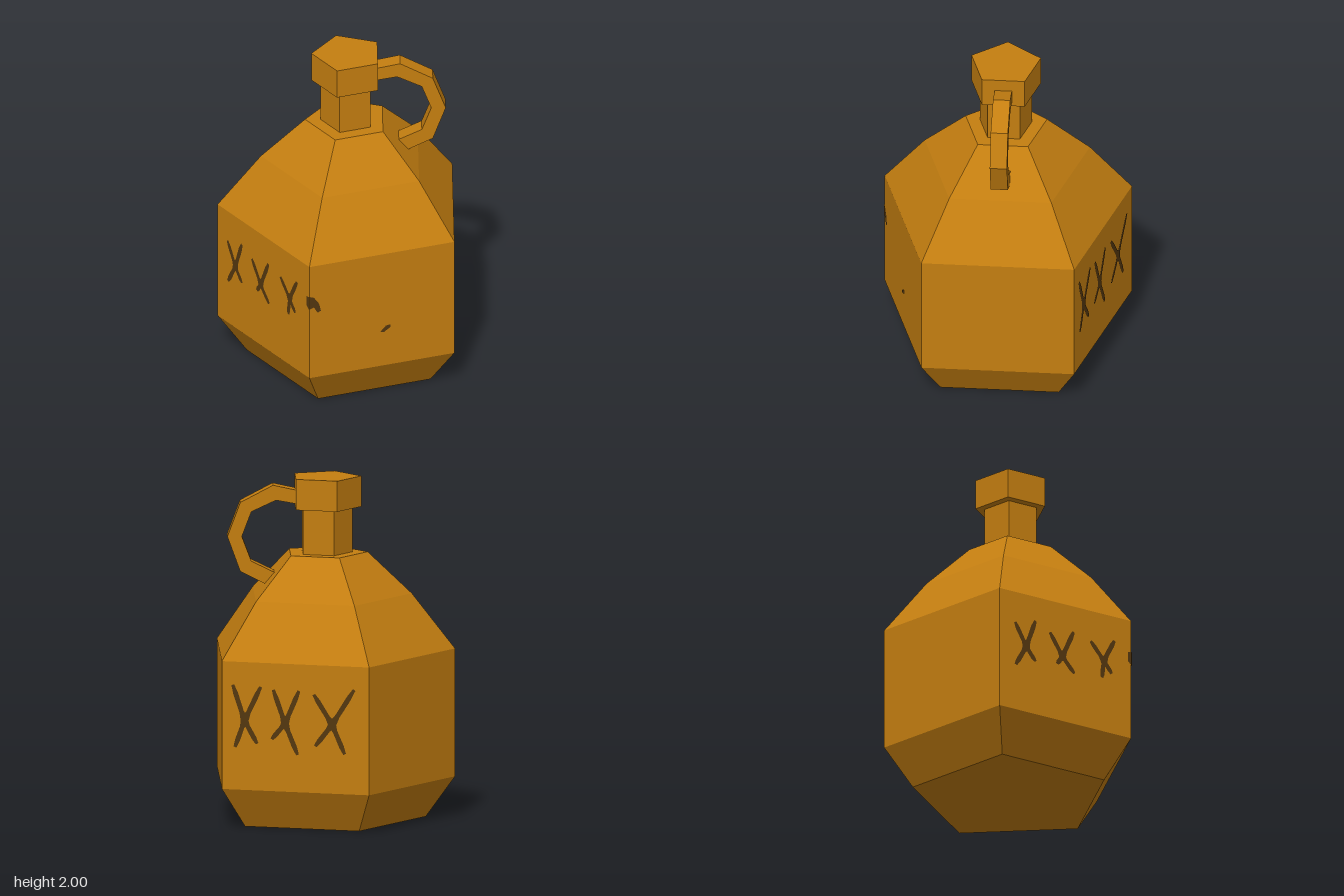
import * as THREE from 'three';
import { mergeGeometries } from 'three/addons/utils/BufferGeometryUtils.js';

const SIDES = 5;
const RADIUS = 0.756;
const APOTHEM = RADIUS * Math.cos(Math.PI / SIDES);
const FACE_WIDTH = 2 * RADIUS * Math.sin(Math.PI / SIDES);
const deg = THREE.MathUtils.degToRad;
const vec = ([x, y]) => new THREE.Vector2(x, y);

// Flat patch on a side face: u runs 0..1 from left to right, y is height
const patch = (points) =>
  new THREE.ShapeGeometry(new THREE.Shape(points.map(([u, y]) => new THREE.Vector2((u - 0.5) * FACE_WIDTH, y))));

// Brush stroke with slim ends and a thick middle
function stroke(from, mid, to) {
  const dx = (to[0] - from[0]) * FACE_WIDTH, dy = to[1] - from[1];
  const len = Math.hypot(dx, dy);
  const n = [-dy / len / FACE_WIDTH, dx / len];
  const off = (p, w) => [p[0] + n[0] * w, p[1] + n[1] * w];
  const lerp = (a, b, t) => [a[0] + (b[0] - a[0]) * t, a[1] + (b[1] - a[1]) * t];
  const line = [
    [from, 0.009], [lerp(from, mid, 0.25), 0.015], [lerp(from, mid, 0.75), 0.014], [mid, 0.024],
    [lerp(mid, to, 0.25), 0.014], [lerp(mid, to, 0.75), 0.015], [to, 0.009],
  ];
  return patch([...line.map(([p, w]) => off(p, w)), ...line.reverse().map(([p, w]) => off(p, -w))]);
}

// Each cross: upper right, lower left, upper left, lower right, centre
const cross = ([ur, ll, ul, lr, c]) => [stroke(ur, c, ll), stroke(ul, c, lr)];

export function createModel() {
  const model = new THREE.Group();
  model.name = 'jug';
  const jug = new THREE.Group();
  jug.name = 'jugParts';
  jug.position.x = -0.073;
  model.add(jug);

  const clay = new THREE.MeshStandardMaterial({ color: 0xc47e10, flatShading: true });
  clay.name = 'ochreClay';
  const paint = new THREE.MeshStandardMaterial({ color: 0x54370f, side: THREE.DoubleSide });
  paint.name = 'darkBrownPaint';

  const add = (name, geometry, material) => {
    const mesh = new THREE.Mesh(geometry, material);
    mesh.name = name;
    jug.add(mesh);
    return mesh;
  };

  // Five-sided turned parts, one corner pointing to +x
  const turned = {
    body: [[0, 0], [0.586, 0], [RADIUS, 0.235], [RADIUS, 0.985], [0.505, 1.31], [0.249, 1.555], [0, 1.555]],
    neck: [[0.16, 1.55], [0.16, 1.825]],
    stopper: [[0, 1.82], [0.212, 1.82], [0.212, 2], [0, 2]],
  };
  for (const [name, profile] of Object.entries(turned)) {
    add(name, new THREE.LatheGeometry(profile.map(vec), SIDES, Math.PI / 2), clay);
  }

  // Angular loop handle from the stopper to the shoulder
  const outer = [[0.165, 1.925], [0.302, 1.955], [0.492, 1.855], [0.567, 1.655], [0.492, 1.45], [0.345, 1.375]];
  const inner = [[0.285, 1.44], [0.428, 1.51], [0.483, 1.655], [0.428, 1.8], [0.285, 1.867], [0.165, 1.845]];
  const handleGeometry = new THREE.ExtrudeGeometry(new THREE.Shape([...outer, ...inner].map(vec)), {
    depth: 0.1, bevelEnabled: false,
  });
  handleGeometry.translate(0, 0, -0.05);
  add('handle', handleGeometry, clay).rotation.y = deg(36);

  // Painted marks, lying just above a side face
  const addMarks = (name, angle, pieces) => {
    const geometry = mergeGeometries(pieces);
    geometry.translate(0, 0, APOTHEM + 0.004);
    add(name, geometry, paint).rotation.y = deg(angle);
  };

  const frontCrosses = [
    [[0.27, 0.83], [0.12, 0.52], [0.115, 0.79], [0.27, 0.57], [0.2, 0.65]],
    [[0.56, 0.82], [0.435, 0.59], [0.38, 0.78], [0.565, 0.555], [0.475, 0.645]],
    [[0.87, 0.83], [0.775, 0.575], [0.69, 0.79], [0.85, 0.615], [0.79, 0.685]],
  ];
  const backCrosses = [
    [[0.265, 0.845], [0.09, 0.485], [0.075, 0.85], [0.24, 0.51], [0.155, 0.643]],
    [[0.525, 0.83], [0.34, 0.54], [0.35, 0.83], [0.515, 0.455], [0.43, 0.635]],
    [[0.9, 0.85], [0.635, 0.51], [0.625, 0.813], [0.835, 0.47], [0.75, 0.64]],
  ];
  addMarks('frontMarks', -18, [
    ...frontCrosses.flatMap(cross),
    patch([[0.975, 0.72], [1, 0.7], [1, 0.785], [0.975, 0.78]]),
  ]);
  addMarks('backMarks', -162, backCrosses.flatMap(cross));
  addMarks('sideSpots', 54, [
    patch([[0, 0.7], [0.03, 0.71], [0.055, 0.67], [0.078, 0.68], [0.065, 0.73], [0.03, 0.775], [0, 0.785]]),
    patch([[0.485, 0.465], [0.515, 0.463], [0.56, 0.49], [0.555, 0.507], [0.525, 0.502]]),
  ]);

  return model;
}
